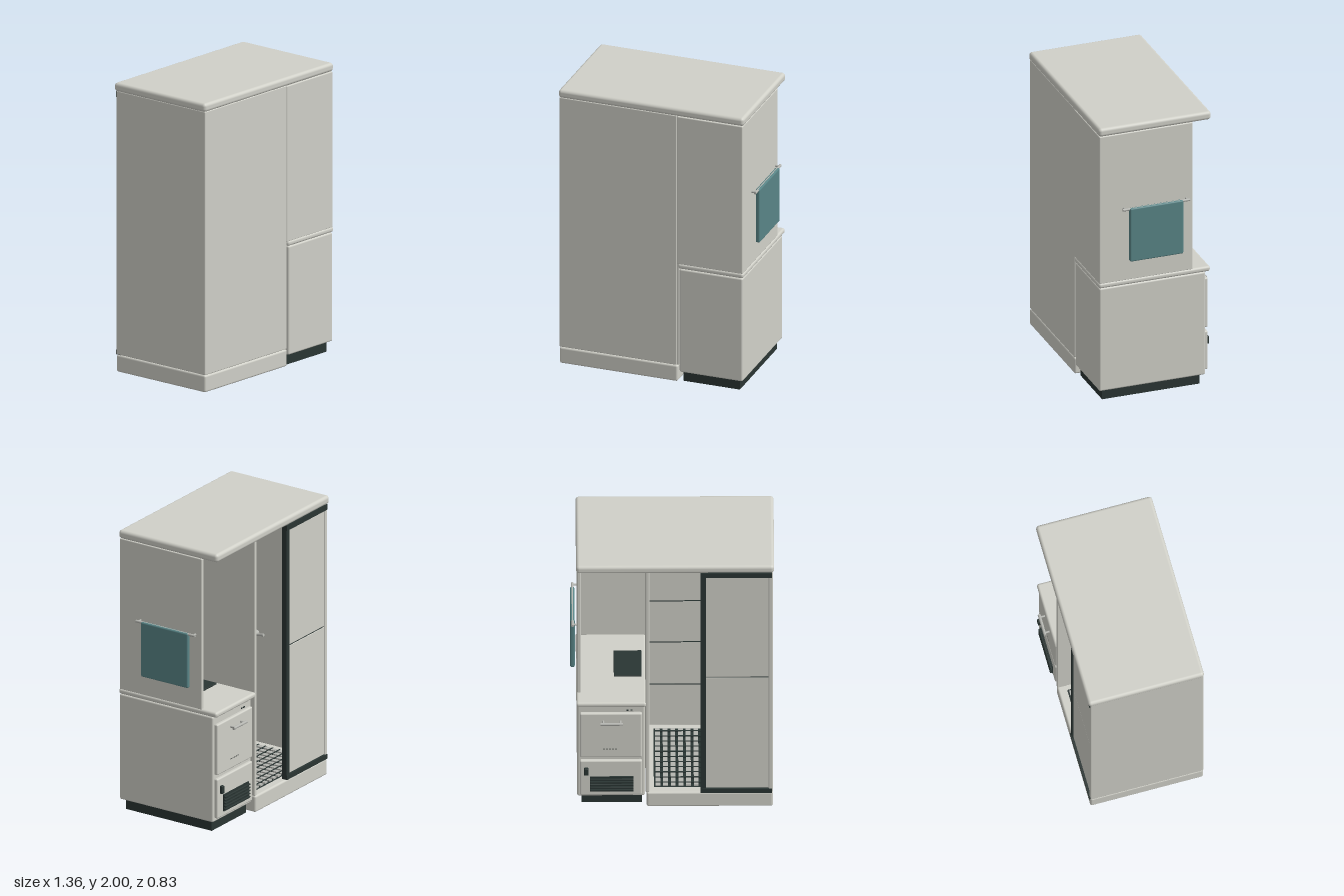
import * as THREE from 'three';
import { RoundedBoxGeometry } from 'three/addons/geometries/RoundedBoxGeometry.js';

const mat = (name, color) => {
  const m = new THREE.MeshStandardMaterial({ color });
  m.name = name;
  return m;
};

export function createModel() {
  const body = mat('warm white', 0xd0d0c8);
  const dark = mat('charcoal', 0x2a3533);
  const teal = mat('teal cloth', 0x588486);
  const metal = mat('brushed metal', 0xb4b5b0);
  const seam = mat('seam grey', 0x60635f);
  const root = new THREE.Group();
  root.name = 'showerKitchenUnit';

  const group = (name) => {
    const g = new THREE.Group();
    g.name = name;
    root.add(g);
    return g;
  };
  // Box given by its extents; r rounds the edges
  const box = (parent, name, material, [x0, x1], [y0, y1], [z0, z1], r = 0) => {
    const w = x1 - x0, h = y1 - y0, d = z1 - z0;
    const geo = r ? new RoundedBoxGeometry(w, h, d, 3, r) : new THREE.BoxGeometry(w, h, d);
    const m = new THREE.Mesh(geo, material);
    m.name = name;
    m.position.set((x0 + x1) / 2, (y0 + y1) / 2, (z0 + z1) / 2);
    parent.add(m);
    return m;
  };
  // Round bar between two points
  const bar = (parent, name, material, a, b, r, sides = 16) => {
    const p = new THREE.Vector3(...a), q = new THREE.Vector3(...b);
    const m = new THREE.Mesh(new THREE.CylinderGeometry(r, r, p.distanceTo(q), sides), material);
    m.name = name;
    m.position.copy(p).add(q).multiplyScalar(0.5);
    m.quaternion.setFromUnitVectors(new THREE.Vector3(0, 1, 0), q.sub(p).normalize());
    parent.add(m);
    return m;
  };

  // Shell: roof, walls and partition
  const shell = group('shell');
  box(shell, 'roof', body, [-0.68, 0.638], [1.94, 2], [-0.385, 0.415], 0.022);
  box(shell, 'showerFrontWall', body, [-0.672, 0.162], [0.12, 1.945], [0.38, 0.41], 0.007);
  box(shell, 'showerSideWall', body, [-0.672, -0.642], [0.12, 1.945], [-0.37, 0.405], 0.007);
  box(shell, 'partition', body, [0.15, 0.176], [0.12, 1.945], [-0.37, 0.4], 0.007);
  box(shell, 'kitchenFrontWall', body, [0.163, 0.63], [0.86, 1.94], [0.385, 0.41], 0.007);
  box(shell, 'kitchenSideWall', body, [0.605, 0.63], [0.86, 1.94], [-0.255, 0.41], 0.007);

  // Shower tray with slatted floor grid
  const tray = group('showerTray');
  box(tray, 'trayBase', body, [-0.672, 0.168], [0, 0.118], [-0.37, 0.41], 0.014);
  box(tray, 'trayFloor', dark, [-0.6, 0.12], [0.116, 0.12], [-0.31, 0.34]);
  for (let i = 0; i < 14; i++) {
    const x = -0.57 + i * 0.051;
    box(tray, 'gridSlat', metal, [x - 0.016, x + 0.016], [0.118, 0.13], [-0.3, 0.33]);
  }
  for (let i = 0; i < 11; i++) {
    const z = -0.27 + i * 0.057;
    box(tray, 'gridCrossLine', dark, [-0.59, 0.11], [0.122, 0.132], [z - 0.005, z + 0.005]);
  }

  // Folding shower door in a dark frame
  const door = group('showerDoor');
  for (const [y0, y1] of [[0.15, 1.062], [1.068, 1.905]])
    box(door, 'doorPanel', body, [-0.645, -0.22], [y0, y1], [-0.362, -0.345], 0.004);
  box(door, 'doorSeam', dark, [-0.645, -0.22], [1.06, 1.07], [-0.359, -0.348]);
  box(door, 'topRail', dark, [-0.665, -0.19], [1.9, 1.938], [-0.377, -0.335]);
  box(door, 'bottomRail', dark, [-0.665, -0.19], [0.118, 0.15], [-0.377, -0.335]);
  box(door, 'doorPost', dark, [-0.226, -0.19], [0.13, 1.92], [-0.372, -0.338]);

  // Shower interior: panel seams, shelf, tap and overhead rose
  const fittings = group('showerFittings');
  for (const y of [0.46, 0.81, 1.15, 1.5])
    box(fittings, 'wallSeam', dark, [-0.64, 0.15], [y - 0.003, y + 0.003], [0.377, 0.381]);
  box(fittings, 'shelf', dark, [-0.52, -0.2], [1.1, 1.125], [0.26, 0.38], 0.005);
  box(fittings, 'foldedCloth', teal, [-0.48, -0.28], [1.125, 1.18], [0.28, 0.37], 0.012);
  bar(fittings, 'tapBody', metal, [-0.642, 0.9, 0.18], [-0.59, 0.9, 0.18], 0.02);
  bar(fittings, 'tapLever', metal, [-0.6, 0.9, 0.18], [-0.59, 0.92, 0.09], 0.009);
  bar(fittings, 'rosePipe', metal, [-0.26, 1.87, 0.02], [-0.26, 1.95, 0.02], 0.015);
  bar(fittings, 'shaowerRose'.replace('shao', 'sho'), metal, [-0.26, 1.855, 0.02], [-0.26, 1.88, 0.02], 0.112, 40);
  for (const [n, r] of [[1, 0], [8, 0.07]])
    for (let i = 0; i < n; i++) {
      const a = (i / n) * Math.PI * 2;
      const x = -0.26 + r * Math.cos(a), z = 0.02 + r * Math.sin(a);
      bar(fittings, 'roseNozzle', dark, [x, 1.852, z], [x, 1.857, z], 0.01, 10);
    }

  // Kitchen cabinet, worktop and hob
  const kitchen = group('kitchenCabinet');
  box(kitchen, 'plinth', dark, [0.2, 0.6], [0, 0.085], [-0.315, 0.38]);
  box(kitchen, 'cabinet', body, [0.18, 0.63], [0.073, 0.827], [-0.345, 0.41], 0.012);
  box(kitchen, 'worktop', body, [0.17, 0.636], [0.828, 0.866], [-0.378, 0.415], 0.016);
  box(kitchen, 'hob', dark, [0.2, 0.385], [0.864, 0.876], [-0.08, 0.2], 0.004);
  box(kitchen, 'upperFront', body, [0.2, 0.612], [0.41, 0.772], [-0.37, -0.34], 0.01);
  box(kitchen, 'lowerFront', body, [0.2, 0.612], [0.1, 0.382], [-0.37, -0.34], 0.01);

  // Drawer handle, indicator lights and labels
  bar(kitchen, 'handleBar', metal, [0.325, 0.712, -0.405], [0.475, 0.712, -0.405], 0.01);
  for (const x of [0.343, 0.457])
    bar(kitchen, 'handlePost', metal, [x, 0.712, -0.365], [x, 0.712, -0.405], 0.007);
  for (const x of [0.27, 0.295])
    box(kitchen, 'indicator', dark, [x - 0.007, x + 0.007], [0.782, 0.79], [-0.349, -0.343]);
  for (let i = 0; i < 5; i++)
    box(kitchen, 'frontMark', seam, [0.365 + i * 0.02, 0.378 + i * 0.02], [0.478, 0.484], [-0.372, -0.368]);

  // Vent grille and rocker switch
  box(kitchen, 'ventPlate', dark, [0.255, 0.545], [0.135, 0.255], [-0.378, -0.366]);
  for (let i = 0; i < 5; i++) {
    const y = 0.15 + i * 0.022;
    box(kitchen, 'ventSlat', dark, [0.255, 0.545], [y - 0.006, y + 0.006], [-0.39, -0.374], 0.003);
  }
  box(kitchen, 'rockerSwitch', dark, [0.556, 0.584], [0.272, 0.328], [-0.389, -0.366], 0.005);

  // Towel on its side rail
  const towel = group('towelRail');
  box(towel, 'towel', teal, [0.645, 0.676], [1.01, 1.4], [-0.172, 0.208], 0.01);
  bar(towel, 'rail', metal, [0.66, 1.392, -0.222], [0.66, 1.392, 0.255], 0.009);
  for (const z of [-0.205, 0.238])
    bar(towel, 'railPost', metal, [0.625, 1.392, z], [0.66, 1.392, z], 0.007);

  return root;
}
